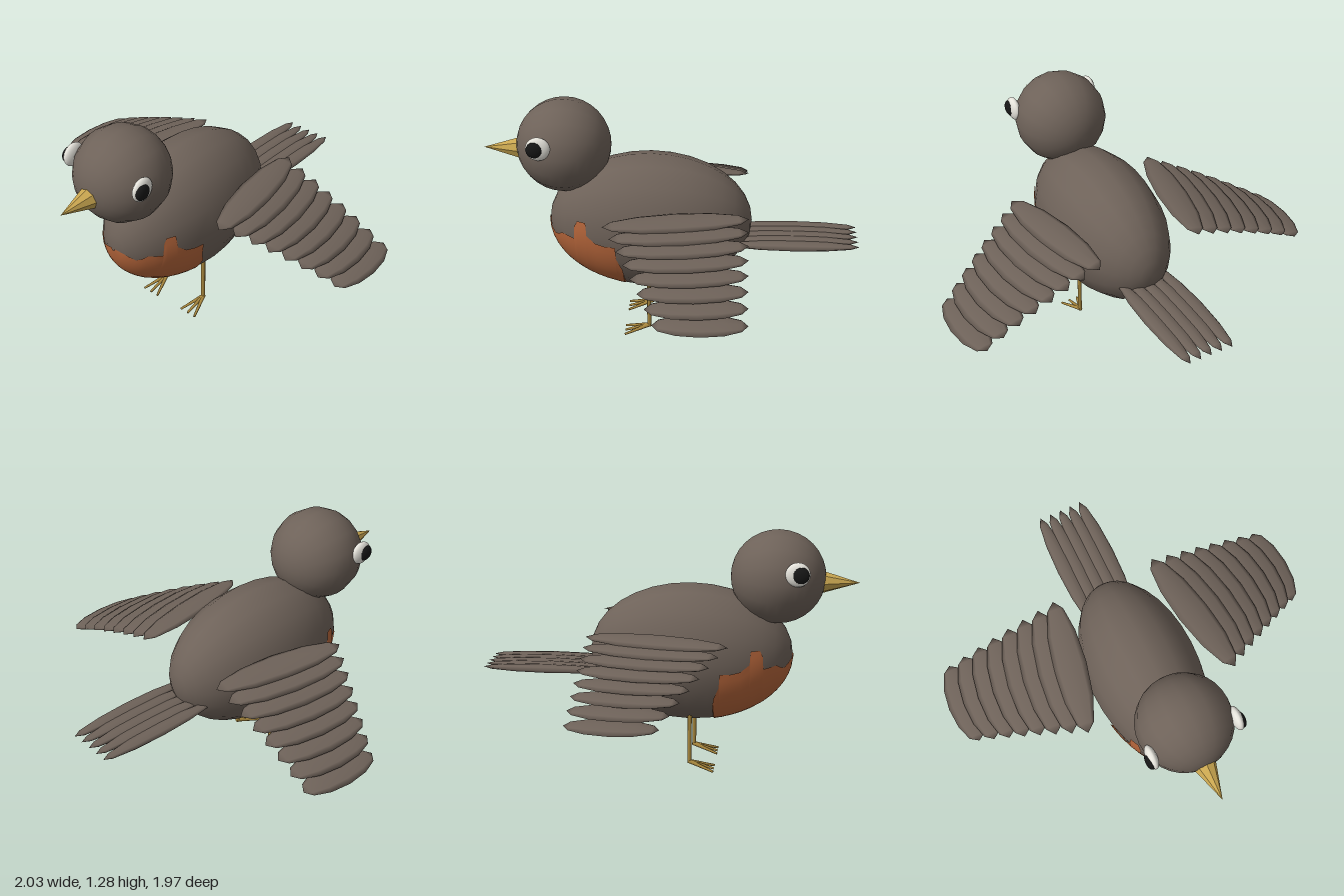
import * as THREE from 'three';

const mat = (color, extra = {}) => new THREE.MeshStandardMaterial({ color, ...extra });

export function createModel() {
  const bird = new THREE.Group();
  bird.name = 'bird';
  const brown = mat(0x6e6259);
  const orange = mat(0xb5653a, { side: THREE.DoubleSide });
  const yellow = mat(0xc9a650, { flatShading: true });
  const legYellow = mat(0xa8873d);
  const white = mat(0xe6e4dc);
  const black = mat(0x161616);

  const add = (name, geometry, material, parent = bird) => {
    const mesh = new THREE.Mesh(geometry, material);
    mesh.name = name;
    parent.add(mesh);
    return mesh;
  };
  const group = (name) => {
    const g = new THREE.Group();
    g.name = name;
    bird.add(g);
    return g;
  };
  const v = (x, y, z) => new THREE.Vector3(x, y, z);

  // Spheres with their poles along z
  const ball = new THREE.SphereGeometry(1, 16, 16).rotateX(Math.PI / 2);
  const featherShape = new THREE.SphereGeometry(1, 8, 6).rotateX(Math.PI / 2);

  // Body and head
  const centre = v(0, 0.62, 0.115), radii = v(0.295, 0.37, 0.535);
  const body = add('body', ball, brown);
  body.position.copy(centre);
  body.scale.copy(radii);
  const head = add('head', ball, brown);
  head.position.set(0, 1.035, 0.565);
  head.scale.setScalar(0.246);

  // Breast patch: arcs across the belly, each reaching up to a ragged edge [z, y]
  const edge = [[0.24, 0.25], [0.245, 0.36], [0.25, 0.43], [0.28, 0.5], [0.285, 0.575], [0.34, 0.575],
    [0.39, 0.585], [0.435, 0.62], [0.44, 0.69], [0.485, 0.69], [0.5, 0.66], [0.505, 0.59],
    [0.54, 0.595], [0.57, 0.6], [0.59, 0.585], [0.61, 0.575], [0.63, 0.595], [0.645, 0.61], [0.654, 0.62]];
  const positions = [], index = [], cols = 24;
  edge.forEach(([z, top], row) => {
    const s = 1.008 * Math.sqrt(Math.max(0, 1 - ((z - centre.z) / (radii.z * 1.008)) ** 2));
    const cos = (centre.y - top) / Math.max(radii.y * s, 0.001);
    const reach = Math.acos(THREE.MathUtils.clamp(cos, -1, 1));
    for (let i = 0; i <= cols; i++) {
      const t = reach * (2 * i / cols - 1);
      positions.push(Math.sin(t) * radii.x * s, centre.y - Math.cos(t) * radii.y * s, z);
      if (row && i) {
        const d = row * (cols + 1) + i, c = d - 1, b = d - cols - 1, a = b - 1;
        index.push(a, b, c, b, d, c);
      }
    }
  });
  const patch = new THREE.BufferGeometry();
  patch.setAttribute('position', new THREE.Float32BufferAttribute(positions, 3));
  patch.setIndex(index);
  patch.computeVertexNormals();
  add('breastPatch', patch, orange);

  // Beak
  const beak = add('beak', new THREE.ConeGeometry(0.075, 0.245, 8).rotateX(Math.PI / 2), yellow);
  beak.position.set(0, 1.01, 0.8625);

  // Flattened feather between two points
  const feather = (parent, from, to, width, thickness, roll) => {
    const m = add('feather', featherShape, brown, parent);
    m.position.copy(from).lerp(to, 0.5);
    m.scale.set(width, thickness, from.distanceTo(to) / 2);
    m.lookAt(to);
    m.rotateZ(roll);
  };

  // Tapered rod between two points
  const rod = (name, parent, from, to, r0, r1) => {
    const dir = to.clone().sub(from);
    const m = add(name, new THREE.CylinderGeometry(r1, r0, dir.length(), 8), legYellow, parent);
    m.position.copy(from).lerp(to, 0.5);
    m.quaternion.setFromUnitVectors(v(0, 1, 0), dir.normalize());
  };

  // Tail fan
  const tail = group('tail');
  for (let i = -2; i <= 2; i++) {
    feather(tail, v(i * 0.06, 0.53, -0.985), v(i * 0.06, 0.53, -0.29), 0.047, 0.021, 0);
  }

  for (const side of [1, -1]) {
    const label = side > 0 ? 'left' : 'right';

    // Eye
    const eye = add(label + 'Eye', ball, white);
    eye.position.set(side * 0.228, 1.095, 0.668);
    eye.scale.set(0.028, 0.063, 0.063);
    const pupil = add(label + 'Pupil', ball, black);
    pupil.position.set(side * 0.244, 1.095, 0.683);
    pupil.scale.set(0.022, 0.043, 0.043);

    // Wing: eight overlapping feathers, shorter and lower towards the tip
    const wing = group(label + 'Wing');
    for (let i = 0; i < 8; i++) {
      const t = i / 7;
      const y = 0.76 - 0.2 * t - 0.055 * t * t;
      feather(wing,
        v(side * (0.29 + 0.63 * t), y, -0.4),
        v(side * (0.42 + 0.515 * t), y, 0.335 - 0.28 * t),
        0.088, 0.019, -side * 0.14);
    }

    // Leg with three forward toes
    const leg = group(label + 'Leg');
    const x = side * 0.135;
    rod('shin', leg, v(x, 0.035, 0.12), v(x, 0.31, 0.12), 0.011, 0.011);
    for (const spread of [-0.048, 0, 0.048]) {
      rod('toe', leg, v(x, 0.045, 0.115), v(x + spread, 0.007, 0.25), 0.011, 0.006);
    }
  }
  return bird;
}
